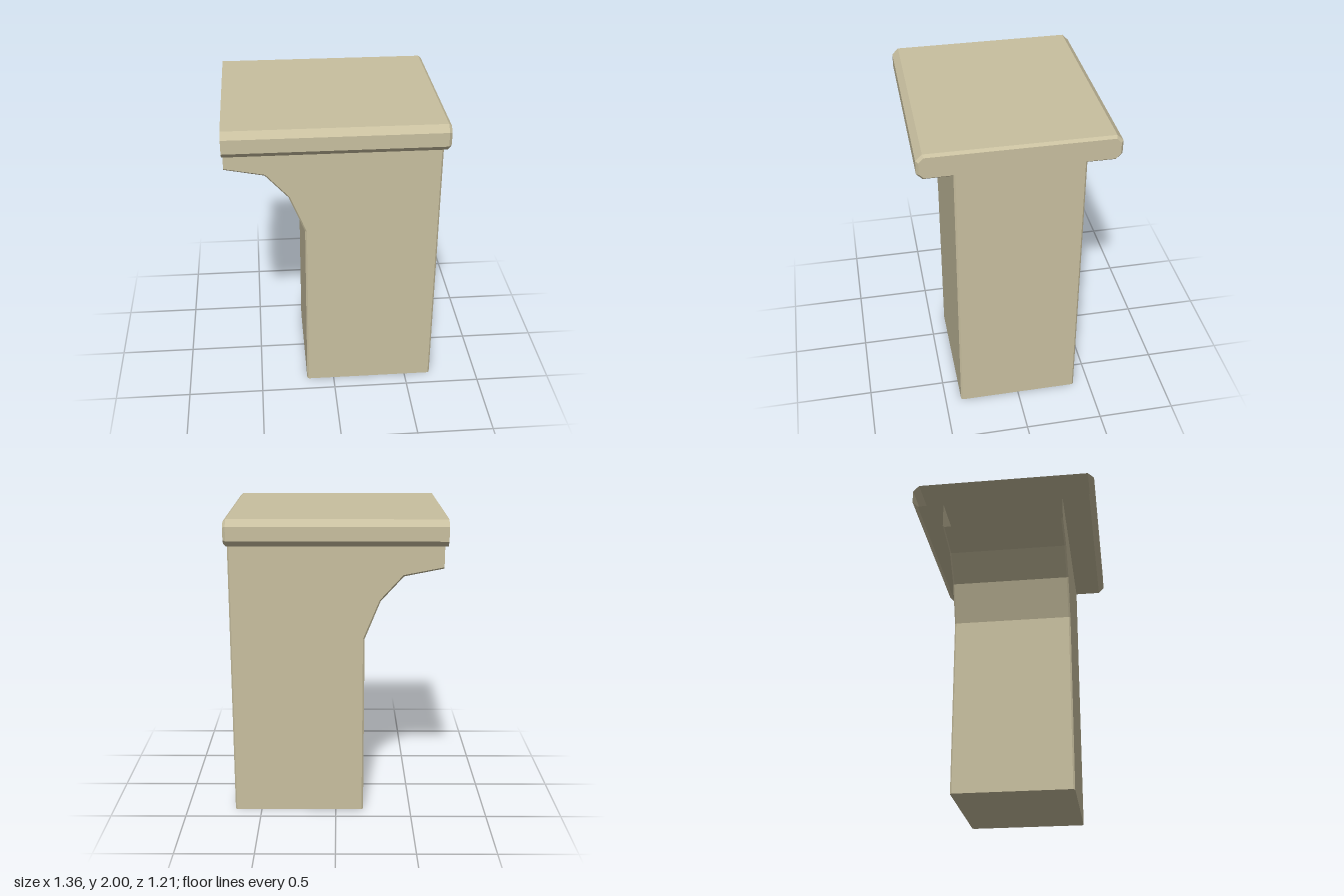
import * as THREE from 'three';

// Open shell: the x = -0.68 end is left uncapped, so both sides show
const material = new THREE.MeshStandardMaterial({ color: 0xc8bf9f, flatShading: true, side: THREE.DoubleSide });

// Joins successive cross-sections (open paths of [x, y, z]) with quads
function loft(sections) {
  const n = sections[0].length;
  const index = [];
  for (let i = 0; i < sections.length - 1; i++) {
    for (let j = 0; j < n - 1; j++) {
      const a = i * n + j, b = a + n;
      index.push(a, a + 1, b, a + 1, b + 1, b);
    }
  }
  const geometry = new THREE.BufferGeometry();
  geometry.setAttribute('position', new THREE.Float32BufferAttribute(sections.flat(2), 3));
  geometry.setIndex(index);
  geometry.computeVertexNormals();
  return geometry;
}

const flatFace = (points) =>
  new THREE.ShapeGeometry(new THREE.Shape(points.map(([x, y]) => new THREE.Vector2(x, y))));

export function createModel() {
  const model = new THREE.Group();
  const add = (name, geometry) => {
    const mesh = new THREE.Mesh(geometry, material);
    mesh.name = name;
    model.add(mesh);
    return mesh;
  };

  // Column with curved bracket: side outline in x, y, and the same outline inset for the bevel
  const outline = [[-0.68, 1.66], [-0.43, 1.61], [-0.285, 1.45], [-0.185, 1.2], [-0.185, 0], [0.678, 0], [0.678, 1.85]];
  const inset = [[-0.68, 1.67], [-0.425, 1.62], [-0.277, 1.456], [-0.174, 1.202], [-0.174, 0], [0.667, 0], [0.667, 1.85]];
  const atZ = (path, z) => path.map(([x, y]) => [x, y, z]);
  add('columnEdges', loft([atZ(inset, -0.395), atZ(outline, -0.384), atZ(outline, 0.384), atZ(inset, 0.395)]));

  // Flat front and back walls of the column
  const wall = [...inset, [0.667, 1.835], [-0.68, 1.835]].filter(([, y]) => y !== 1.85);
  add('frontWall', flatFace(wall)).position.z = 0.395;
  const backWall = add('backWall', flatFace(wall.map(([x, y]) => [-x, y])));
  backWall.rotation.y = Math.PI;
  backWall.position.z = -0.395;

  // Overhanging top slab: half section in z, y, mirrored, with a bevel at the closed end
  const mirrored = (half) => [...half, ...half.map(([z, y]) => [-z, y]).reverse()];
  const section = mirrored([[-0.395, 1.835], [-0.57, 1.835], [-0.607, 1.872], [-0.607, 1.96], [-0.567, 2]]);
  const endSection = mirrored([[-0.395, 1.85], [-0.564, 1.85], [-0.592, 1.878], [-0.592, 1.954], [-0.561, 1.985]]);
  const atX = (path, x) => path.map(([z, y]) => [x, y, z]);
  add('topSlab', loft([atX(section, -0.68), atX(section, 0.66), atX(endSection, 0.678)]));

  // End face of the slab
  const slabEnd = add('slabEnd', flatFace(endSection));
  slabEnd.rotation.y = Math.PI / 2;
  slabEnd.position.x = 0.678;

  return model;
}
